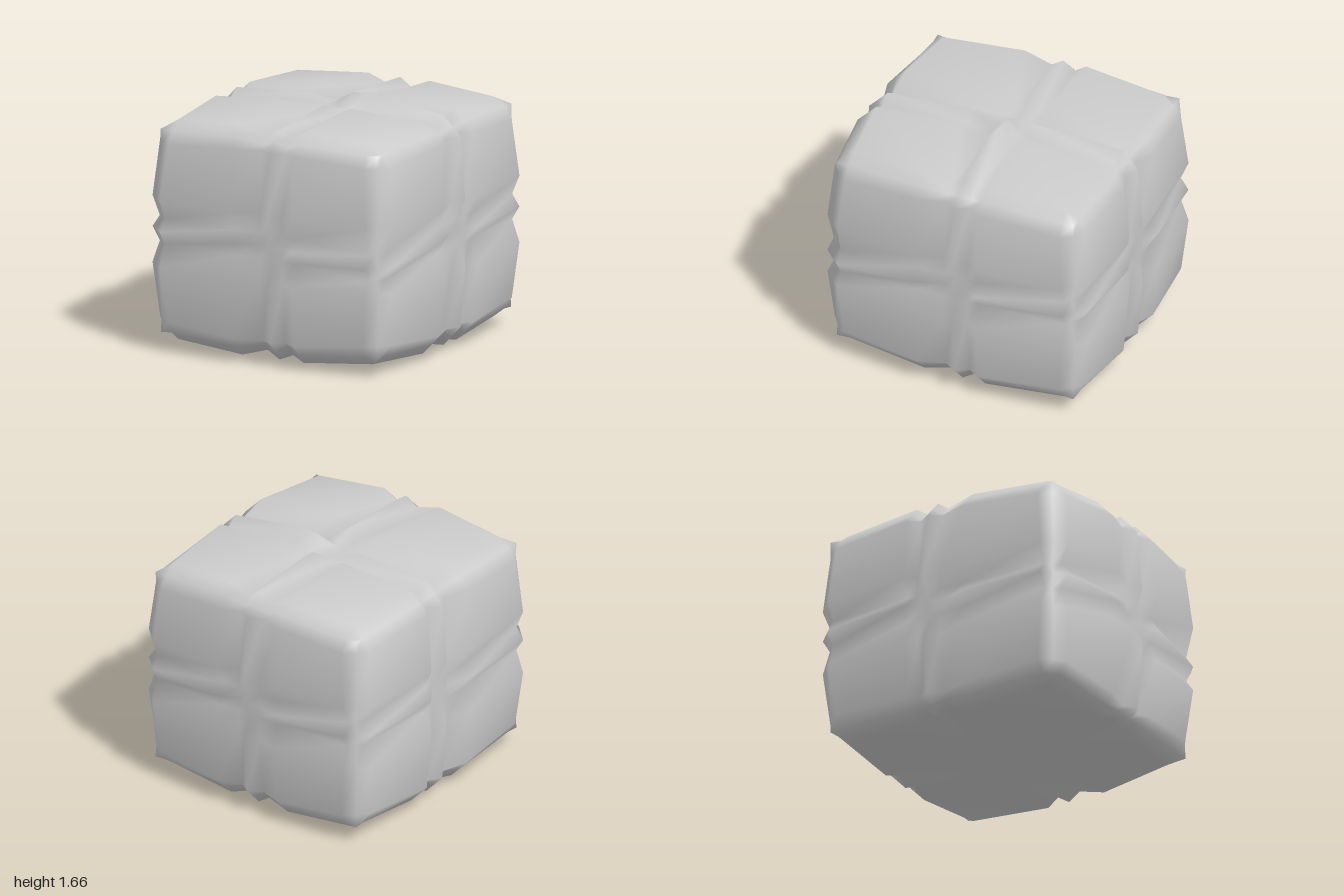
import * as THREE from 'three';
import { mergeVertices } from 'three/addons/utils/BufferGeometryUtils.js';

// grid lines along each axis: corner, cushion, groove, strap, groove, cushion, corner
const LINES = [
  [-0.78, -0.23, -0.06, 0.03, 0.11, 0.23, 0.78],
  [0.17, 0.58, 0.73, 0.82, 0.9, 1.03, 1.45],
  [-0.83, -0.22, -0.14, -0.055, 0.03, 0.22, 0.83],
];
const CENTRE = [0, 0.81, 0];
const HALF = [0.945, 0.81, 0.995];
const BULGE = 0.035; // how far the padding falls off toward the corners
const GROOVE = 0.055; // depth beside each strap

const atEnd = (i) => i === 0 || i === 8;
const nearEnd = (i) => i <= 1 || i >= 7;
const groove = (i) => (i === 3 || i === 5 ? GROOVE : 0);
const ramp = (v, a, b) => THREE.MathUtils.clamp((v - a) / (b - a), 0, 1);

// place one grid vertex from its three line numbers (0..8)
function place(idx) {
  const ends = idx.filter(atEnd).length;
  const inner = idx.filter((i) => !atEnd(i));
  const dent = Math.max(0, ...inner.map(groove));
  const fall = inner.filter(nearEnd).length * BULGE;
  const p = idx.map((i, a) => {
    const line = LINES[a][THREE.MathUtils.clamp(i, 1, 7) - 1];
    if (!atEnd(i)) {
      // draw the pad corners slightly inward
      const pull = nearEnd(i) && inner.every(nearEnd) ? 0.04 : 0;
      return line - Math.sign(line - CENTRE[a]) * pull;
    }
    const side = i === 0 ? -1 : 1;
    const edge = ends > 1 ? BULGE : 0;
    const face = CENTRE[a] + side * (HALF[a] - edge);
    const inset = (fall + dent) * (ends > 1 ? 0.75 : 1);
    // chamfer: blend the face plane with the last grid line
    return face / ends + (line * (ends - 1)) / ends - side * inset;
  });

  const [u, v, w] = idx;
  // vertical strap leans a little from back to front
  if (u > 2 && u < 6) p[0] += 0.025 * p[2];
  // level strap sags around the front left corner
  const sag = ramp(p[0], 0.15, 0.85) * ramp(p[2], 0.2, 0.9);
  if (v > 2 && v < 6) p[1] -= 0.08 * sag;
  // strap stands up on the top, beside the crossing
  if (v === 8 && w === 4) {
    if (u === 5) p[1] += 0.095;
    if (u === 6) p[1] += 0.045;
  }
  // softer, worn front left corner
  if (u >= 7 && w >= 7) {
    p[0] -= 0.025;
    p[2] -= 0.025;
  }
  return p;
}

export function createModel() {
  const group = new THREE.Group();
  group.name = 'strappedBale';

  let geo = new THREE.BoxGeometry(8, 8, 8, 8, 8, 8);
  geo.deleteAttribute('uv');
  geo.deleteAttribute('normal');
  geo = mergeVertices(geo);
  const pos = geo.attributes.position;
  for (let i = 0; i < pos.count; i++) {
    const idx = [pos.getX(i), pos.getY(i), pos.getZ(i)].map((c) => Math.round(c + 4));
    pos.setXYZ(i, ...place(idx));
  }
  geo.computeVertexNormals();

  const bale = new THREE.Mesh(geo, new THREE.MeshStandardMaterial({ color: 0xcccccc }));
  bale.name = 'bale';
  group.add(bale);
  return group;
}
